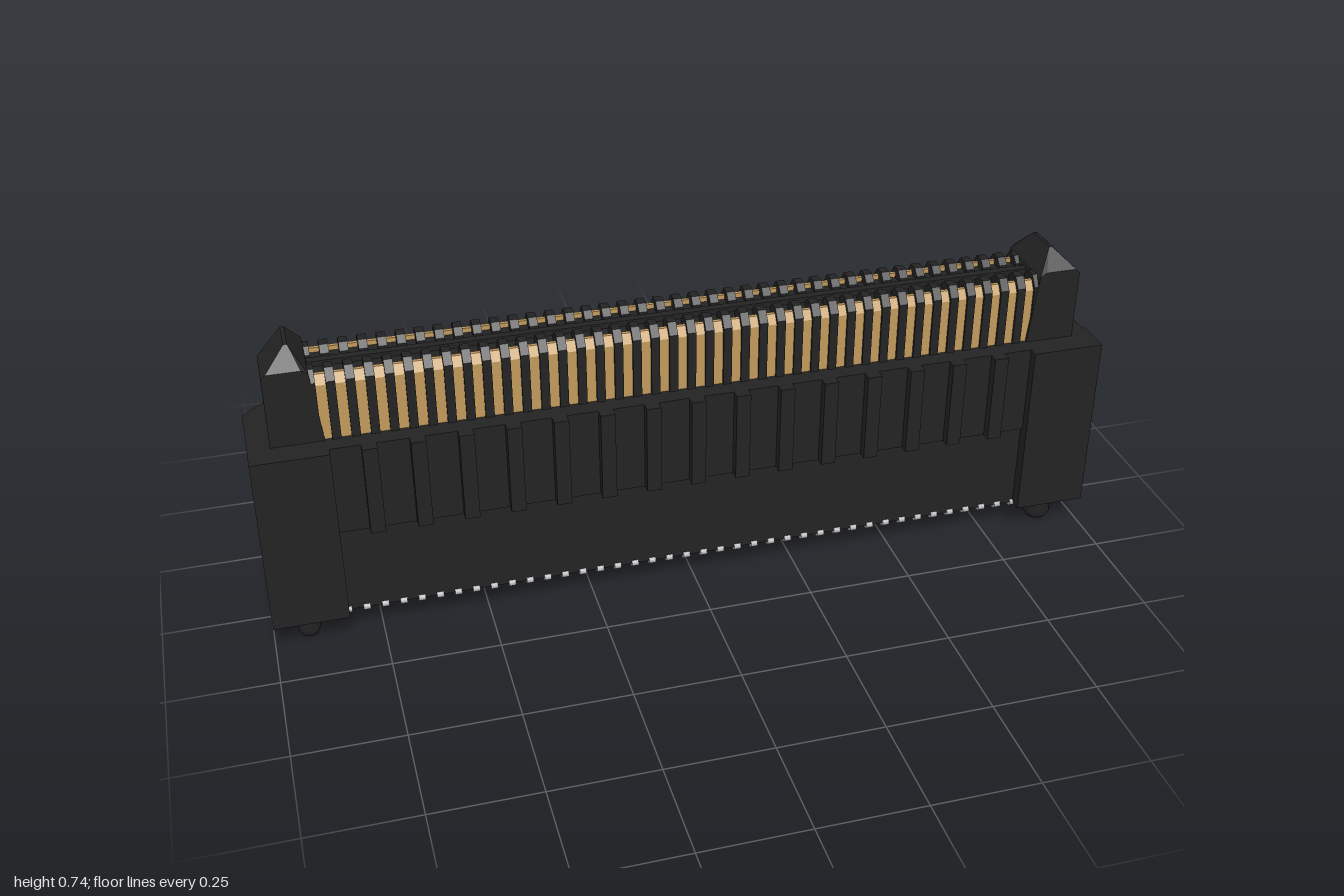
import * as THREE from 'three';
import { mergeGeometries } from 'three/addons/utils/BufferGeometryUtils.js';
import { ConvexGeometry } from 'three/addons/geometries/ConvexGeometry.js';

const PITCH = 0.0424, PINS = 40;

export function createModel() {
  const group = new THREE.Group();
  const black = new THREE.MeshStandardMaterial({ color: 0x232323 });
  const gold = new THREE.MeshStandardMaterial({ color: 0xc0995c });
  const silver = new THREE.MeshStandardMaterial({ color: 0xb0b0b0 });

  const add = (name, geometry, material) => {
    const mesh = new THREE.Mesh(geometry, material);
    mesh.name = name;
    group.add(mesh);
    return mesh;
  };
  // Box given by its limits
  const box = (x0, x1, y0, y1, z0, z1) =>
    new THREE.BoxGeometry(x1 - x0, y1 - y0, z1 - z0)
      .translate((x0 + x1) / 2, (y0 + y1) / 2, (z0 + z1) / 2);
  // Outline in (x, z) raised from y0 to y1
  const prism = (points, y0, y1, hole) => {
    const shape = new THREE.Shape(points.map(([x, z]) => new THREE.Vector2(x, -z)));
    if (hole) shape.holes.push(new THREE.Path(hole.map(([x, z]) => new THREE.Vector2(x, -z))));
    return new THREE.ExtrudeGeometry(shape, { depth: y1 - y0, bevelEnabled: false })
      .rotateX(-Math.PI / 2).translate(0, y0, 0);
  };
  // Outline in (z, y) given a width along x, centred on x
  const slice = (points, x, width) => {
    const shape = new THREE.Shape(points.map(([z, y]) => new THREE.Vector2(-z, y)));
    return new THREE.ExtrudeGeometry(shape, { depth: width, bevelEnabled: false })
      .rotateY(Math.PI / 2).translate(x - width / 2, 0, 0);
  };

  // Housing middle: slightly narrower below
  add('lowerHousing', box(-0.84, 0.84, 0.07, 0.29, -0.115, 0.115), black);
  add('upperHousing', box(-0.84, 0.84, 0.29, 0.51, -0.123, 0.123), black);

  // Vertical ribs on both long walls
  const ribs = [];
  for (let i = -7; i <= 7; i++) {
    const x = i * PITCH * 2.5;
    ribs.push(box(x - 0.017, x + 0.017, 0.29, 0.51, -0.146, 0.146));
  }
  add('wallRibs', mergeGeometries(ribs), black);

  // End blocks: one has a cut corner, the other a shallow end groove
  const outlines = {
    right: [[-0.827, 0.146], [-0.827, -0.146], [-0.92, -0.146], [-1, -0.07], [-1, 0.146]],
    left: [[0.827, 0.146], [1, 0.146], [1, 0.055], [0.993, 0.055], [0.993, -0.052],
      [1, -0.052], [1, -0.146], [0.827, -0.146]],
  };
  for (const [side, outline] of Object.entries(outlines)) {
    const s = side === 'left' ? 1 : -1;
    const hole = [];
    for (let k = 0; k < 6; k++) {
      const a = k * Math.PI / 3;
      hole.push([s * 0.905 + 0.048 * Math.cos(a), -0.06 + 0.04 * Math.sin(a)]);
    }
    add(side + 'EndBlock', prism(outline, 0.11, 0.51), black);
    add(side + 'EndBlockFoot', prism(outline, 0.07, 0.11, hole), black);

    // Guide tower with a wedge top and a cut back corner
    const tower = [
      [0.83, 0.5, 0.085], [0.83, 0.5, -0.085], [0.95, 0.5, 0.085], [0.95, 0.5, -0.025], [0.905, 0.5, -0.085],
      [0.85, 0.68, 0.085], [0.85, 0.68, -0.085], [0.95, 0.68, 0.085], [0.95, 0.68, -0.025],
      [0.905, 0.69, -0.085], [0.94, 0.69, 0.085], [0.865, 0.69, 0.085], [0.865, 0.69, -0.085],
      [0.885, 0.735, 0.042], [0.885, 0.735, -0.042], [0.893, 0.735, 0.042], [0.893, 0.735, -0.042],
    ];
    add(side + 'GuideTower',
      new ConvexGeometry(tower.map(([x, y, z]) => new THREE.Vector3(s * x, y, z))), black);
  }

  // Locating pegs with a chamfered tip
  const peg = (name, x, z, r) => {
    const points = [[0, 0], [r * 0.75, 0], [r, 0.015], [r, 0.09]].map(([a, b]) => new THREE.Vector2(a, b));
    add(name, new THREE.LatheGeometry(points, 24).translate(x, 0, z), black);
  };
  peg('leftPeg', 0.913, 0.08, 0.034);
  peg('rightPeg', -0.918, 0.08, 0.026);

  // Comb: a core carrying two rows of teeth
  add('combCore', box(-0.855, 0.855, 0.5, 0.655, -0.06, 0.06), black);
  add('combCentreRidge', box(-0.855, 0.855, 0.65, 0.668, -0.01, 0.01), black);
  const mirrored = (points, s) => points.map(([z, y]) => [s * z, y]);
  const tooth = [[0.025, 0.5], [0.084, 0.5], [0.084, 0.655], [0.065, 0.68], [0.04, 0.68], [0.025, 0.665]];
  const contact = [[0.055, 0.5], [0.078, 0.5], [0.078, 0.645], [0.064, 0.666], [0.055, 0.666]];
  const teeth = [], contacts = [], solder = [];
  for (const s of [-1, 1]) {
    for (let i = 0; i <= PINS; i++) {
      const x = (i - PINS / 2) * PITCH;
      teeth.push(slice(mirrored(tooth, s), x, 0.02));
      if (i === PINS) continue;
      contacts.push(slice(mirrored(contact, s), x + PITCH / 2, 0.0224));
      // Flattened solder tail under each contact
      solder.push(new THREE.CylinderGeometry(0.02, 0.02, 0.016, 14).rotateZ(Math.PI / 2)
        .scale(1, 0.6, 1).translate(x + PITCH / 2, 0.07, s * 0.101));
    }
  }
  add('combTeeth', mergeGeometries(teeth), black);
  add('contacts', mergeGeometries(contacts), gold);
  add('solderTails', mergeGeometries(solder), silver);

  return group;
}
